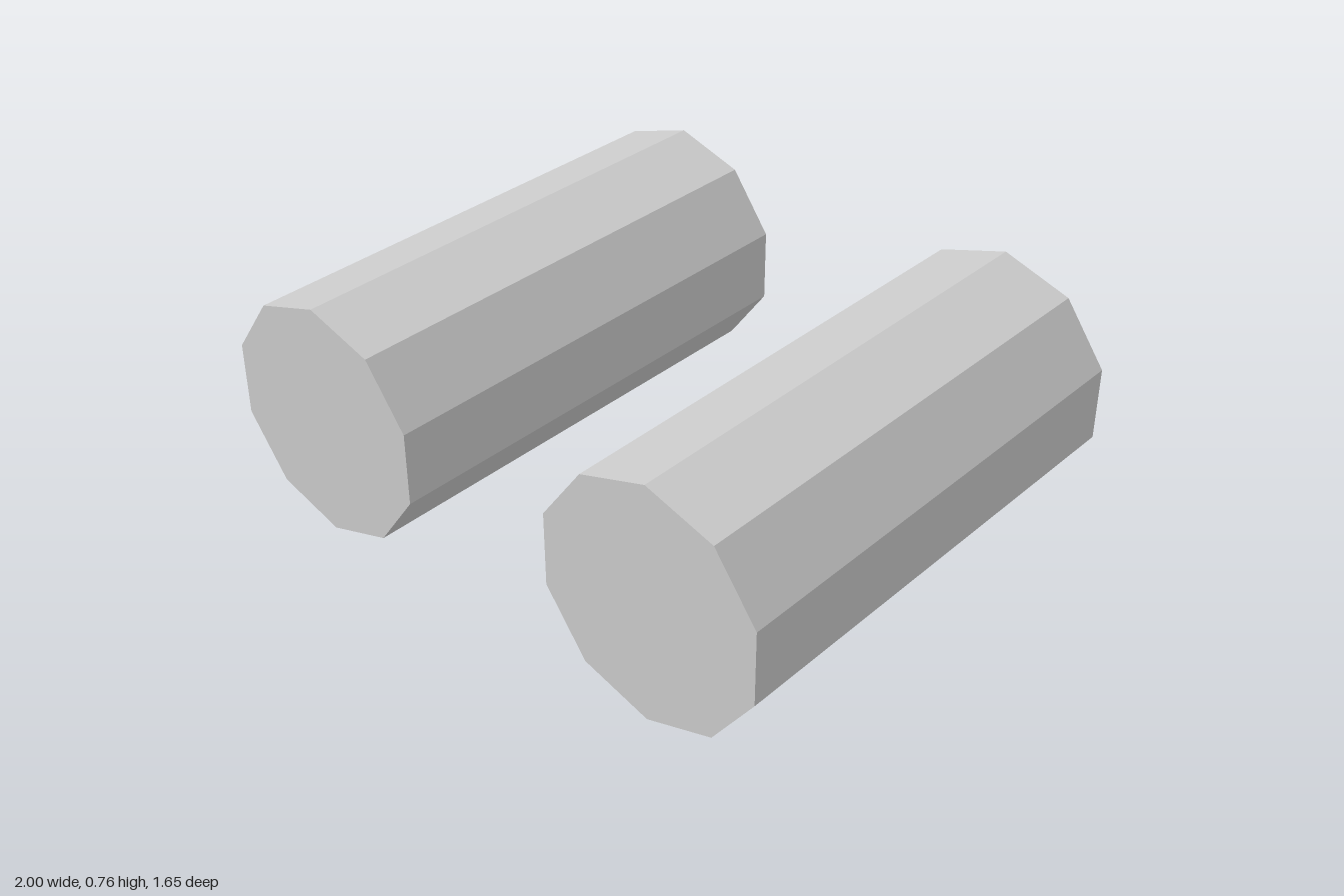
import * as THREE from 'three';

const SIDES = 10;
const AXIS_X = 0.637, AXIS_Y = 0.382;

// Ten-sided drum lying along z, with a corner pointing straight up
function drum(name, radius, zBack, zFront, material) {
  const geometry = new THREE.CylinderGeometry(radius, radius, zFront - zBack, SIDES);
  geometry.rotateX(Math.PI / 2);
  geometry.translate(0, 0, (zBack + zFront) / 2);
  const mesh = new THREE.Mesh(geometry, material);
  mesh.name = name;
  return mesh;
}

export function createModel() {
  const model = new THREE.Group();
  model.name = 'twinCylinders';
  const grey = new THREE.MeshStandardMaterial({ color: 0xcccccc, flatShading: true });
  const black = new THREE.MeshStandardMaterial({ color: 0x222222, flatShading: true });

  for (const [side, sign] of [['left', 1], ['right', -1]]) {
    const cylinder = new THREE.Group();
    cylinder.name = side + 'Cylinder';
    cylinder.position.set(sign * AXIS_X, AXIS_Y, 0);
    // Main body, and the dark nozzle seated in its back end
    cylinder.add(drum(side + 'Body', 0.382, -0.763, 0.827, grey));
    cylinder.add(drum(side + 'Nozzle', 0.285, -0.827, -0.75, black));
    model.add(cylinder);
  }
  return model;
}
